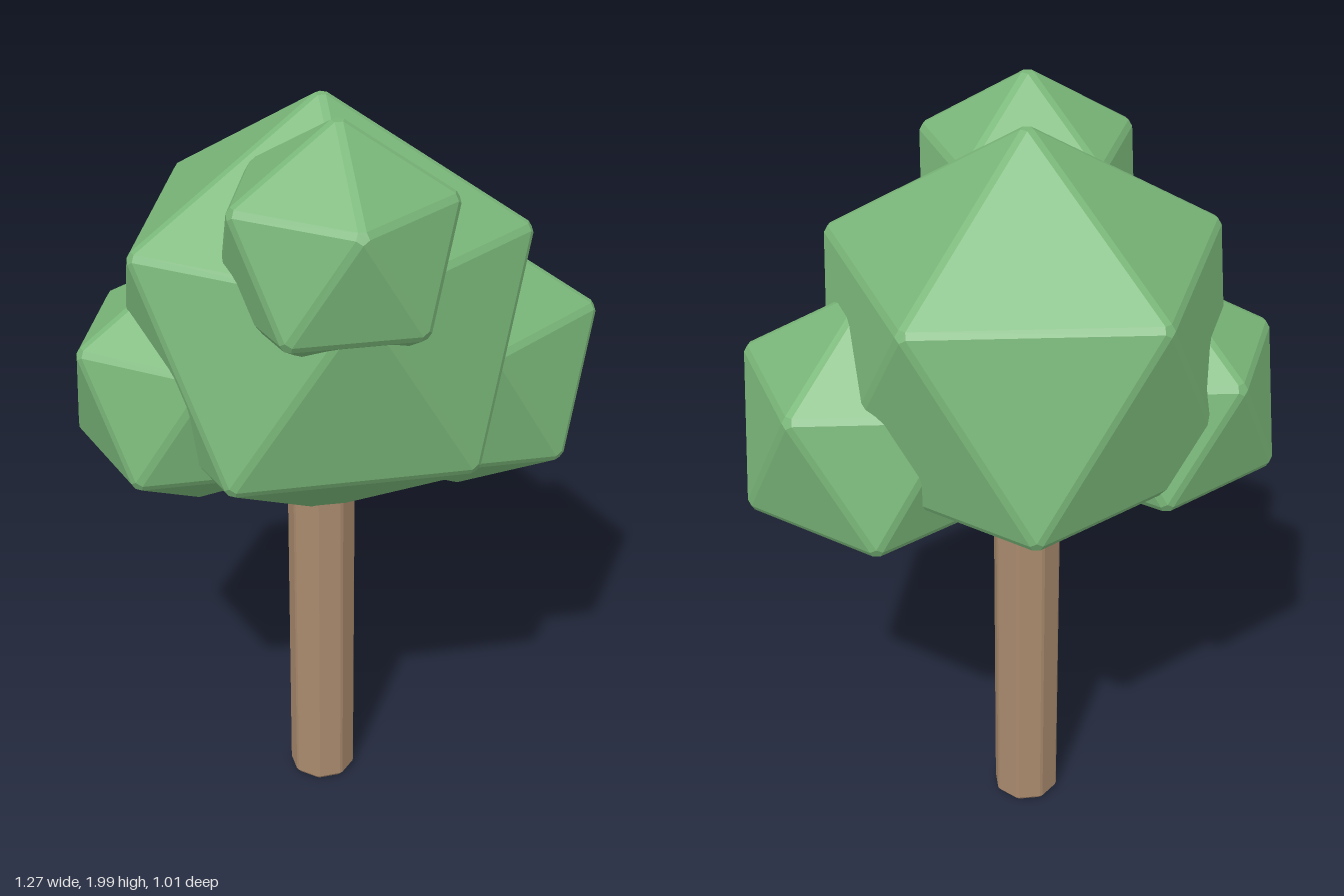
import * as THREE from 'three';
import { ConvexGeometry } from 'three/addons/geometries/ConvexGeometry.js';

// Icosahedron standing on a vertex, with narrow chamfers along its edges
function clumpGeometry(radius) {
  const ringY = radius / Math.sqrt(5), ringR = 2 * ringY;
  const ring = (k, y, offset) => {
    const a = (k + offset) * Math.PI * 2 / 5;
    return new THREE.Vector3(Math.cos(a) * ringR, y, Math.sin(a) * ringR);
  };
  const top = new THREE.Vector3(0, radius, 0);
  const bottom = new THREE.Vector3(0, -radius, 0);
  const inset = 0.033 / radius;
  const points = [];
  for (let k = 0; k < 5; k++) {
    const u0 = ring(k, ringY, 0), u1 = ring(k + 1, ringY, 0);
    const l0 = ring(k, -ringY, 0.5), l1 = ring(k + 1, -ringY, 0.5);
    for (const face of [[top, u0, u1], [u0, u1, l0], [l0, l1, u1], [bottom, l0, l1]]) {
      const centre = new THREE.Vector3();
      face.forEach((v) => centre.addScaledVector(v, 1 / 3));
      face.forEach((v) => points.push(v.clone().lerp(centre, inset)));
    }
  }
  return new ConvexGeometry(points);
}

// Eight-sided post with chamfered corners and bottom rim
function trunkGeometry(radius, height) {
  const points = [];
  for (const [y, r] of [[0, radius - 0.008], [0.01, radius], [height, radius]]) {
    for (let k = 0; k < 8; k++) {
      for (const d of [-0.05, 0.05]) {
        const a = k * Math.PI / 4 + d;
        points.push(new THREE.Vector3(Math.cos(a) * r, y, Math.sin(a) * r));
      }
    }
  }
  return new ConvexGeometry(points);
}

export function createModel() {
  const group = new THREE.Group();
  const leafGreen = new THREE.MeshStandardMaterial({ color: 0x7ab779 });
  leafGreen.name = 'leafGreen';
  const barkBrown = new THREE.MeshStandardMaterial({ color: 0xa98a6d });
  barkBrown.name = 'barkBrown';

  const add = (name, geometry, material, x, y, z) => {
    const mesh = new THREE.Mesh(geometry, material);
    mesh.name = name;
    mesh.position.set(x, y, z);
    group.add(mesh);
  };

  add('trunk', trunkGeometry(0.087, 1.0), barkBrown, -0.038, 0, -0.018);

  // Foliage: name, radius, centre
  const clumps = [
    ['mainFoliage', 0.57, -0.035, 1.405, -0.02],
    ['topFrontFoliage', 0.312, 0.035, 1.695, 0.245],
    ['leftFoliage', 0.377, 0.303, 1.222, -0.175],
    ['rightFoliage', 0.338, -0.34, 1.252, 0.092],
  ];
  for (const [name, radius, x, y, z] of clumps) {
    add(name, clumpGeometry(radius), leafGreen, x, y, z);
  }
  return group;
}
